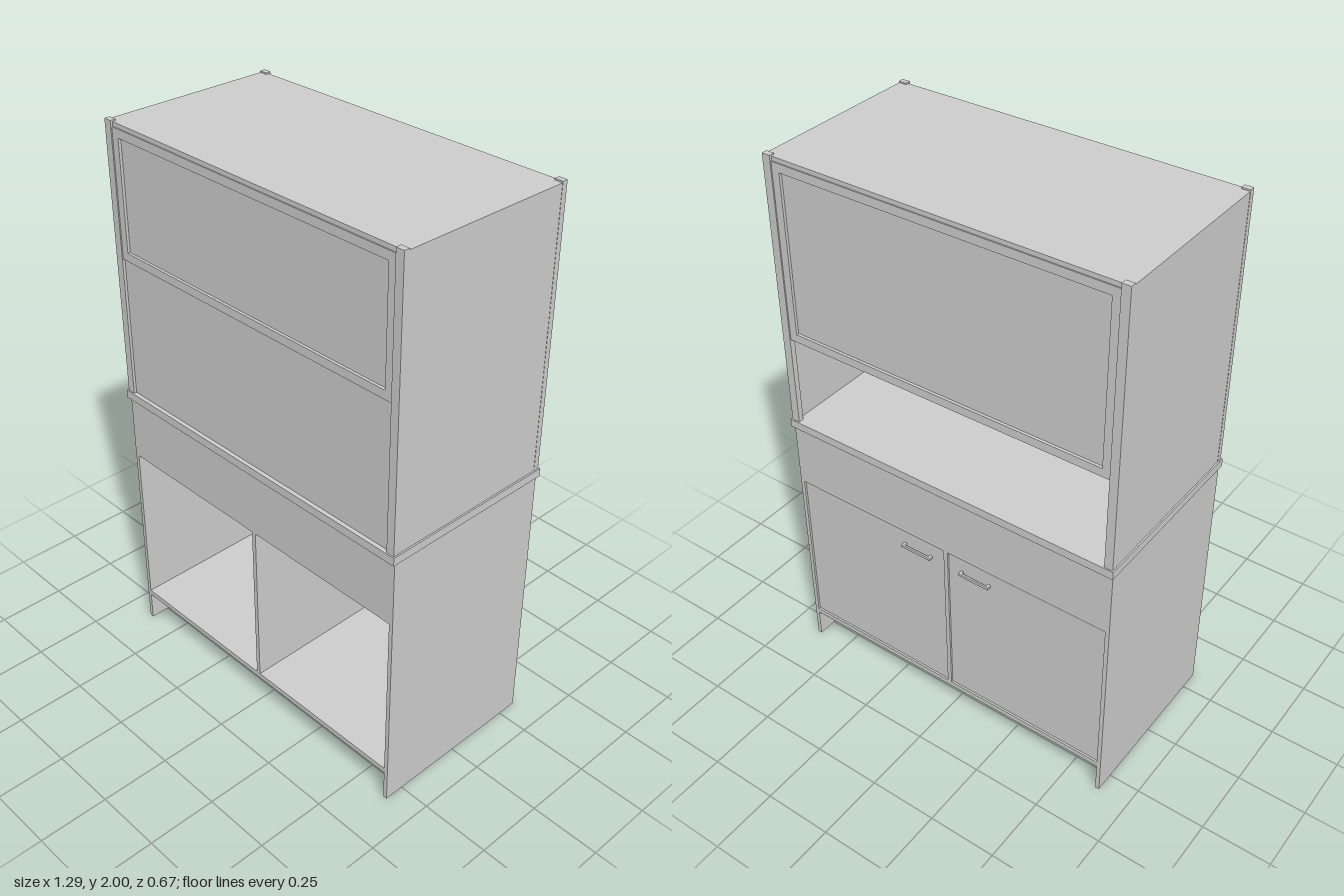
import * as THREE from 'three';

export function createModel() {
  const root = new THREE.Group();
  root.name = 'cabinet';
  const mat = new THREE.MeshStandardMaterial({ color: 0xcccccc });

  const add = (name, geometry) => {
    const mesh = new THREE.Mesh(geometry, mat);
    mesh.name = name;
    root.add(mesh);
    return mesh;
  };
  // Box given by its limits on each axis
  const box = (name, x0, x1, y0, y1, z0, z1) => {
    const g = new THREE.BoxGeometry(x1 - x0, y1 - y0, z1 - z0);
    g.translate((x0 + x1) / 2, (y0 + y1) / 2, (z0 + z1) / 2);
    return add(name, g);
  };
  // Rectangular frame: outer half width and heights, inner half width and heights
  const frame = (name, ox, oy0, oy1, ix, iy0, iy1, z0, z1) => {
    const rect = (p, x, a, b) =>
      p.moveTo(-x, a).lineTo(x, a).lineTo(x, b).lineTo(-x, b).closePath();
    const shape = rect(new THREE.Shape(), ox, oy0, oy1);
    shape.holes.push(rect(new THREE.Path(), ix, iy0, iy1));
    const g = new THREE.ExtrudeGeometry(shape, { depth: z1 - z0, bevelEnabled: false });
    g.translate(0, 0, z0);
    return add(name, g);
  };

  // Base: side boards down to the ground, floor, divider and aprons
  for (const s of [-1, 1]) {
    const side = s < 0 ? 'right' : 'left';
    const xs = (a, b) => (s > 0 ? [a, b] : [-b, -a]);
    box(side + 'BaseSide', ...xs(0.622, 0.637), 0, 0.99, -0.322, 0.322);
    box(side + 'UpperSide', ...xs(0.622, 0.637), 1.02, 1.995, -0.326, 0.326);

    // Corner posts standing just proud of the top
    for (const z of [-1, 1]) {
      const zs = z > 0 ? [0.308, 0.328] : [-0.328, -0.308];
      box(side + (z > 0 ? 'Front' : 'Back') + 'Post', ...xs(0.608, 0.638), 1.02, 2, ...zs);
    }

    // Back doors with bar handles
    box(side + 'BackDoor', ...xs(0.009, 0.62), 0.132, 0.748, -0.316, -0.302);
    box(side + 'HandleBar', ...xs(0.06, 0.18), 0.685, 0.695, -0.333, -0.326);
    for (const x of [0.06, 0.17])
      box(side + 'HandleFoot', ...xs(x, x + 0.01), 0.685, 0.695, -0.328, -0.314);
  }
  box('baseFloor', -0.622, 0.622, 0.11, 0.13, -0.322, 0.322);
  box('divider', -0.008, 0.008, 0.13, 0.99, -0.322, 0.322);
  box('frontApron', -0.622, 0.622, 0.75, 0.99, 0.307, 0.322);
  box('backApron', -0.622, 0.622, 0.75, 0.99, -0.322, -0.307);

  // Overhanging worktop and the top board
  box('worktop', -0.643, 0.643, 0.99, 1.02, -0.333, 0.333);
  box('topBoard', -0.622, 0.622, 1.98, 1.995, -0.32, 0.32);

  // Closed front of the upper cabinet
  frame('frontUpperFrame', 0.608, 1.53, 1.98, 0.58, 1.56, 1.95, 0.306, 0.324);
  box('frontUpperPanel', -0.585, 0.585, 1.555, 1.955, 0.308, 0.314);
  box('frontLowerPanel', -0.608, 0.608, 1.02, 1.53, 0.308, 0.318);

  // Framed back panel above an open counter
  frame('backUpperFrame', 0.608, 1.35, 1.98, 0.58, 1.38, 1.95, -0.324, -0.306);
  box('backUpperPanel', -0.585, 0.585, 1.375, 1.955, -0.314, -0.308);

  return root;
}
